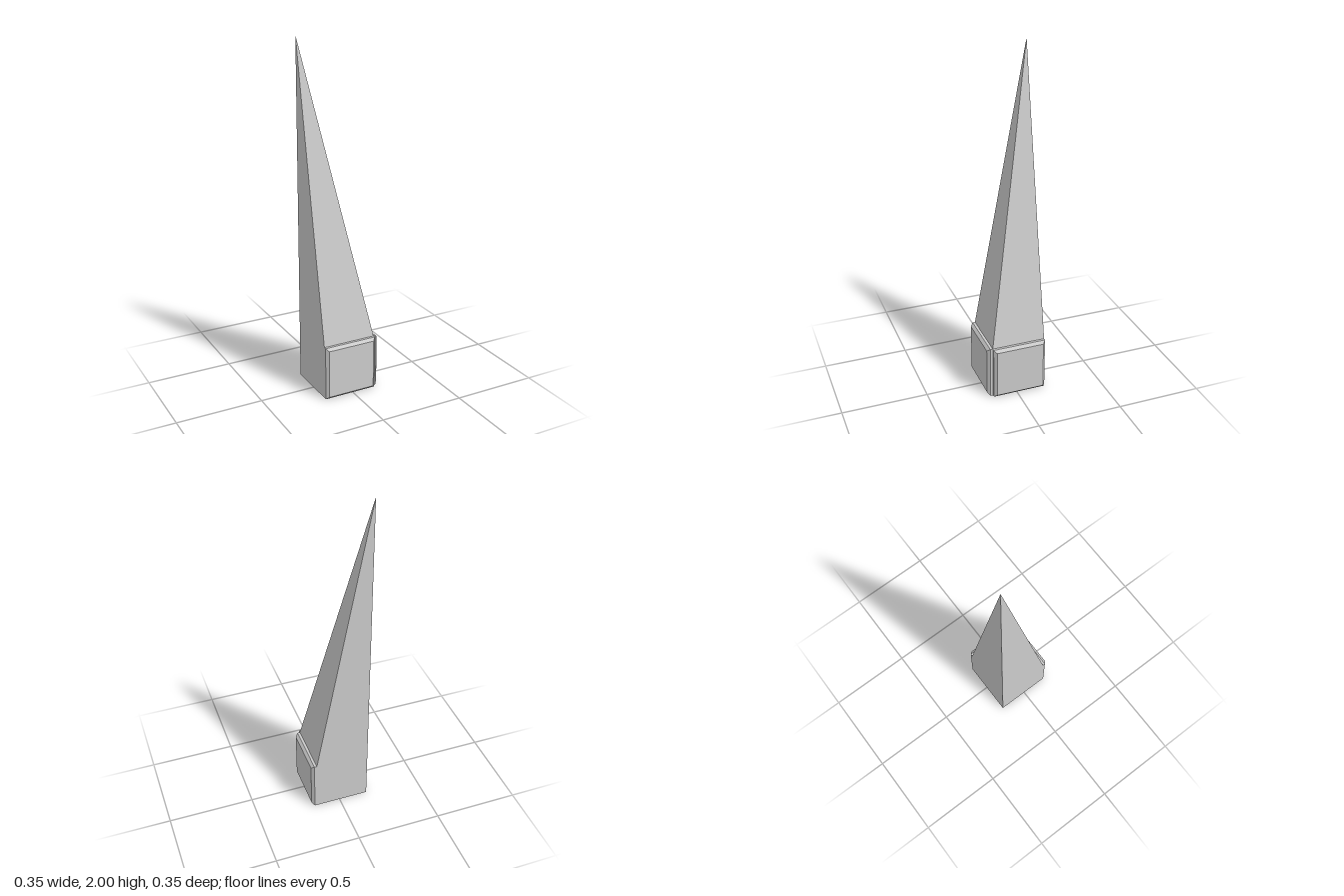
import * as THREE from 'three';

const HALF = 0.173;          // half of the overall footprint
const BEVEL = 0.016;         // bevel width on the panels
const LIP = 0.015;           // straight part of a panel before its bevel
const SIDE = 2 * HALF - LIP - BEVEL;   // side of the square core
const BASE = 0.317;          // height of the base block
const MID = -HALF + SIDE / 2;          // core centre on x and z

const material = new THREE.MeshStandardMaterial({ color: 0xcccccc, flatShading: true });

// Moves each vertex by a rule, then gives every face its own normal
function reshape(geometry, rule) {
  const flat = geometry.toNonIndexed();
  const pos = flat.attributes.position;
  const v = new THREE.Vector3();
  for (let i = 0; i < pos.count; i++) {
    rule(v.fromBufferAttribute(pos, i));
    pos.setXYZ(i, v.x, v.y, v.z);
  }
  flat.computeVertexNormals();
  return flat;
}

function part(name, geometry, x, y, z) {
  const mesh = new THREE.Mesh(geometry, material);
  mesh.name = name;
  mesh.position.set(x, y, z);
  return mesh;
}

// Square slab whose outer (+z) face is drawn in to leave a bevel all round
function panelGeometry() {
  const depth = LIP + BEVEL;
  return reshape(new THREE.BoxGeometry(SIDE, BASE, depth, 1, 1, 2), (v) => {
    if (v.z > depth / 4) {
      v.x -= Math.sign(v.x) * BEVEL;
      v.y -= Math.sign(v.y) * BEVEL;
    } else if (v.z > -depth / 4) {
      v.z = -depth / 2 + LIP;
    }
  });
}

// Four-sided spike with its tip above the back corner
function spireGeometry() {
  const height = 2 - BASE;
  const cone = new THREE.ConeGeometry(SIDE / Math.SQRT2, height, 4, 1, true).rotateY(Math.PI / 4);
  return reshape(cone, (v) => {
    if (v.y > 0) {
      v.x -= SIDE / 2;
      v.z -= SIDE / 2;
    }
  });
}

export function createModel() {
  const model = new THREE.Group();
  model.name = 'cornerSpire';

  // Core block and spire
  model.add(part('baseBlock', new THREE.BoxGeometry(SIDE, BASE, SIDE), MID, BASE / 2, MID));
  model.add(part('spire', spireGeometry(), MID, (BASE + 2) / 2, MID));

  // Bevelled panels on the front and the left side
  const panel = panelGeometry();
  const out = HALF - (LIP + BEVEL) / 2;
  model.add(part('frontPanel', panel, MID, BASE / 2, out));
  const sidePanel = part('leftPanel', panel, out, BASE / 2, MID);
  sidePanel.rotation.y = Math.PI / 2;
  model.add(sidePanel);

  return model;
}
